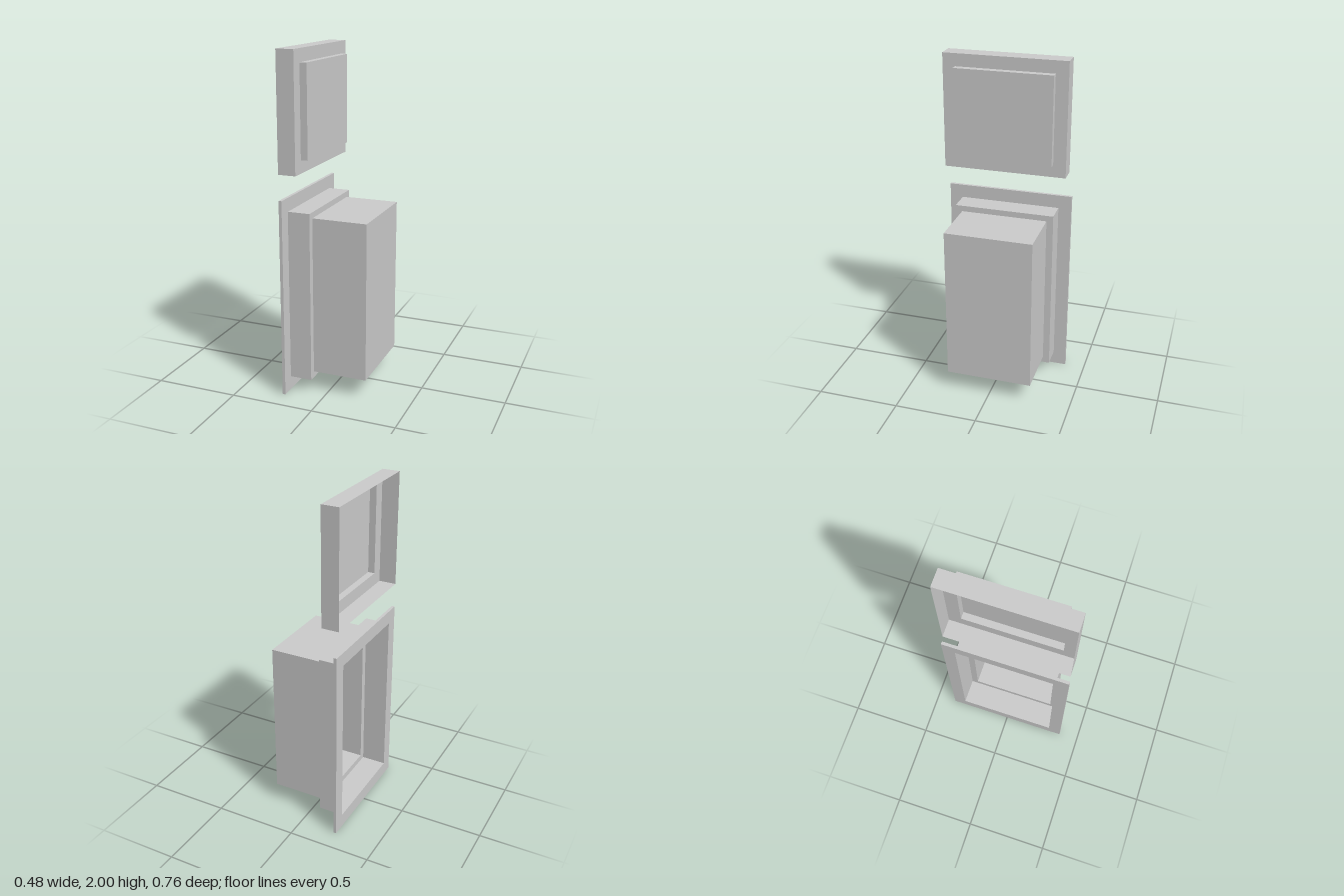
import * as THREE from 'three';

const material = new THREE.MeshStandardMaterial({ color: 0xcccccc, flatShading: true, side: THREE.DoubleSide });

// Rectangle of the sheet, as its lower and upper y and its back and front z
const rect = (y0, y1, z0, z1) => [[y0, z0], [y1, z0], [y1, z1], [y0, z1]];

// Thin folded sheet: joins rectangles placed along x, then closes the last one
function sheet(name, sections) {
  const pos = [];
  const quad = (a, b, c, d) => pos.push(...a, ...b, ...c, ...a, ...c, ...d);
  const rings = sections.map(([x, r]) => r.map(([y, z]) => [x, y, z]));
  for (let i = 0; i < rings.length - 1; i++) {
    for (let j = 0; j < 4; j++) {
      const k = (j + 1) % 4;
      quad(rings[i][j], rings[i][k], rings[i + 1][k], rings[i + 1][j]);
    }
  }
  quad(...rings[rings.length - 1]);
  const geometry = new THREE.BufferGeometry();
  geometry.setAttribute('position', new THREE.Float32BufferAttribute(pos, 3));
  geometry.computeVertexNormals();
  const mesh = new THREE.Mesh(geometry, material);
  mesh.name = name;
  return mesh;
}

export function createModel() {
  const model = new THREE.Group();
  model.name = 'wallBoxWithCover';

  // Lower housing: flange plate, stepped collar and deep box, open towards -x
  const flange = rect(0, 1.175, -0.378, 0.378);
  const collar = rect(0.082, 1.095, -0.3, 0.3);
  const box = rect(0.12, 1.06, -0.26, 0.26);
  model.add(sheet('housing', [
    [-0.22, collar], [-0.238, collar], [-0.238, flange], [-0.22, flange],
    [-0.22, collar], [-0.088, collar], [-0.088, box], [0.237, box],
  ]));

  // Upper cover: shallow tray with a raised panel, open towards -x
  const tray = rect(1.322, 2, -0.355, 0.376);
  const panel = rect(1.397, 1.926, -0.28, 0.302);
  model.add(sheet('cover', [
    [-0.238, tray], [-0.134, tray], [-0.134, panel], [-0.093, panel],
  ]));

  // Three round marks on the panel
  const markGeometry = new THREE.CircleGeometry(0.038, 32).rotateY(Math.PI / 2);
  const markMaterial = new THREE.MeshStandardMaterial({ color: 0xcccccc });
  for (const [y, z] of [[1.674, 0.105], [1.753, -0.148], [1.553, -0.148]]) {
    const mark = new THREE.Mesh(markGeometry, markMaterial);
    mark.name = 'panelMark';
    mark.position.set(-0.092, y, z);
    model.add(mark);
  }
  return model;
}
